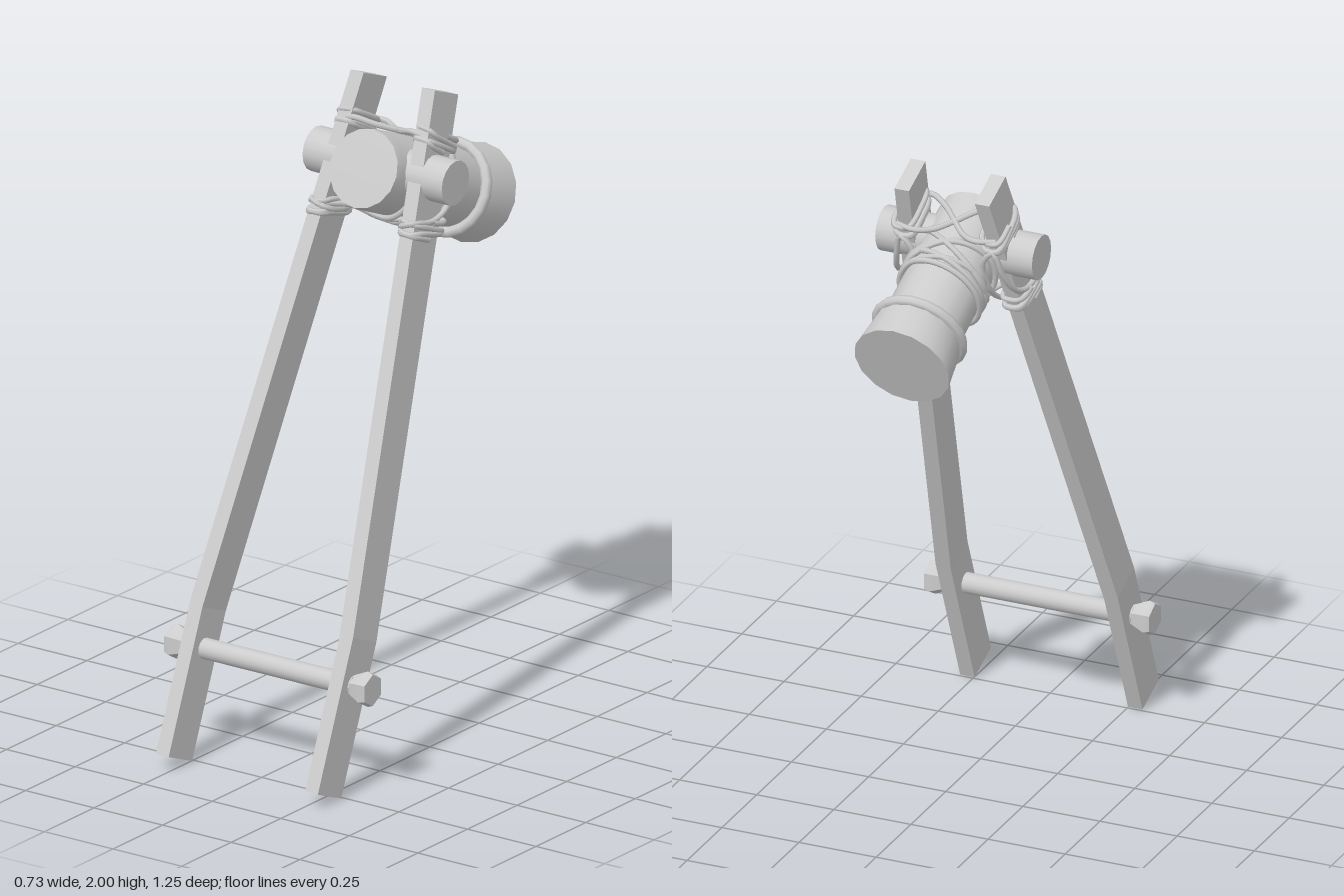
import * as THREE from 'three';
import { toCreasedNormals } from 'three/addons/utils/BufferGeometryUtils.js';

const material = new THREE.MeshStandardMaterial({ color: 0xcccccc });
const V = (x, y, z) => new THREE.Vector3(x, y, z);

function add(parent, name, geometry, x = 0, y = 0, z = 0) {
  const mesh = new THREE.Mesh(geometry, material);
  mesh.name = name;
  mesh.position.set(x, y, z);
  parent.add(mesh);
  return mesh;
}

// Turned part from [radius, height] pairs
function turned(profile, sides) {
  const points = profile.map(([r, h]) => new THREE.Vector2(r, h));
  return toCreasedNormals(new THREE.LatheGeometry(points, sides), 0.7);
}

// Cord through a list of points
function cord(parent, name, points, closed = false, radius = 0.009) {
  const curve = new THREE.CatmullRomCurve3(points, closed);
  return add(parent, name, new THREE.TubeGeometry(curve, points.length * 4, radius, 6, closed));
}

// Bent leg: straight foot, then leaning inward to the top
function legGeometry(side) {
  const h = 0.0235;
  const pts = [[0.272 - h, 0], [0.272 + h, 0], [0.272 + h, 0.475], [0.13 + h, 2.104],
    [0.13 - h, 2.104], [0.272 - h, 0.455]];
  const shape = new THREE.Shape(pts.map(([x, y]) => new THREE.Vector2(x * side, y)));
  const g = new THREE.ExtrudeGeometry(shape, { depth: 0.127, bevelEnabled: false });
  return g.translate(0, 0, -0.0635);
}

// Flat coil wound around a leg
function legCoil(side, y, x, turns, slope) {
  const pts = [];
  const n = turns * 16;
  const soft = (v) => Math.sign(v) * Math.pow(Math.abs(v), 0.55);
  for (let i = 0; i <= n; i++) {
    const a = (i / 16) * Math.PI * 2;
    const f = i / n - 0.5;
    const wobble = 0.012 * Math.sin(a * 0.5);
    pts.push(V(side * (x + soft(Math.cos(a)) * 0.034), y + f * 0.05 + slope * Math.sin(a) + wobble,
      -0.125 + soft(Math.sin(a)) * 0.076));
  }
  return pts;
}

// Slanted ring around the head
function headRing(z, slantX, slantY, radius = 0.13) {
  const pts = [];
  for (let i = 0; i < 16; i++) {
    const a = (i / 16) * Math.PI * 2;
    pts.push(V(Math.cos(a) * radius, Math.sin(a) * radius,
      z + slantX * Math.cos(a) + slantY * Math.sin(a)));
  }
  return pts;
}

export function createModel() {
  const model = new THREE.Group();
  model.name = 'lashedMallet';

  // Leaning legs
  const legs = new THREE.Group();
  legs.name = 'legs';
  legs.position.set(0, 0.024, 0.567);
  legs.rotation.x = -0.383;
  model.add(legs);
  add(legs, 'leftLeg', legGeometry(1));
  add(legs, 'rightLeg', legGeometry(-1));

  // Lower crossbar with flared hexagonal ends
  add(model, 'crossbar', new THREE.CylinderGeometry(0.032, 0.032, 0.6, 16).rotateZ(Math.PI / 2),
    0, 0.337, 0.445);
  for (const side of [1, -1]) {
    const knob = turned([[0, 0], [0.031, 0], [0.056, 0.055], [0.049, 0.073], [0, 0.073]], 6);
    knob.rotateY(Math.PI / 2).rotateZ(-side * Math.PI / 2);
    add(model, side > 0 ? 'leftKnob' : 'rightKnob', knob, side * 0.292, 0.337, 0.445);
  }

  // Upper peg through legs and head
  add(model, 'peg', new THREE.CylinderGeometry(0.069, 0.069, 0.508, 16).rotateZ(Math.PI / 2),
    0, 1.74, -0.125);

  // Head, its local -z running down its length to the back
  const head = new THREE.Group();
  head.name = 'head';
  head.position.set(0, 1.765, -0.013);
  head.rotation.x = -0.41;
  model.add(head);
  const lay = (g) => g.rotateX(-Math.PI / 2);
  add(head, 'headBody', lay(turned([[0, -0.004], [0.12, 0], [0.122, 0.03], [0.122, 0.5], [0, 0.5]], 16)));
  add(head, 'headCap', lay(turned([[0.1, 0.455], [0.135, 0.462], [0.152, 0.602], [0, 0.602]], 16)));
  add(head, 'capRing', new THREE.TorusGeometry(0.136, 0.017, 8, 20), 0, 0, -0.464);

  // Cords wound around the head
  const lashing = new THREE.Group();
  lashing.name = 'lashing';
  head.add(lashing);
  [[-0.3, 0.012, 0.004], [-0.285, -0.02, 0.012], [-0.255, 0.035, -0.01], [-0.225, -0.04, 0.015],
    [-0.19, 0.075, -0.02], [-0.19, -0.075, -0.02]].forEach(([z, sx, sy], i) =>
    cord(lashing, 'headCord' + (i + 1), headRing(z, sx, sy), true));

  // Coils and loops on each leg
  for (const side of [1, -1]) {
    const label = side > 0 ? 'left' : 'right';
    cord(lashing, label + 'UpperCoil', legCoil(side, 0.125, 0.143, 3, 0.012));
    cord(lashing, label + 'LowerCoil', legCoil(side, -0.135, 0.167, 3, -0.012));
    const loop = [[0.185, -0.125, -0.045], [0.195, -0.105, -0.13], [0.19, -0.05, -0.195],
      [0.172, 0.03, -0.215], [0.15, 0.11, -0.205], [0.115, 0.07, -0.215], [0.12, -0.04, -0.22],
      [0.13, -0.12, -0.17], [0.135, -0.14, -0.06]];
    cord(lashing, label + 'PegLoop', loop.map(([x, y, z]) => V(side * x, y, z)), true);
    // Crossing cord over the top of the head
    cord(lashing, label + 'CrossCord', [[0.16, 0.13, -0.06], [0.105, 0.14, -0.05], [0.05, 0.134, -0.08],
      [0, 0.133, -0.13], [-0.05, 0.138, -0.18], [-0.1, 0.15, -0.205], [-0.16, 0.145, -0.19]]
      .map(([x, y, z]) => V(side * x, y, z)));
    // Slanted cord from the lower coil under the head
    cord(lashing, label + 'UnderCord', [[0.15, -0.13, -0.06], [0.1, -0.115, -0.14], [0.04, -0.131, -0.2],
      [-0.04, -0.131, -0.25], [-0.1, -0.09, -0.27]].map(([x, y, z]) => V(side * x, y, z)));
  }

  return model;
}
